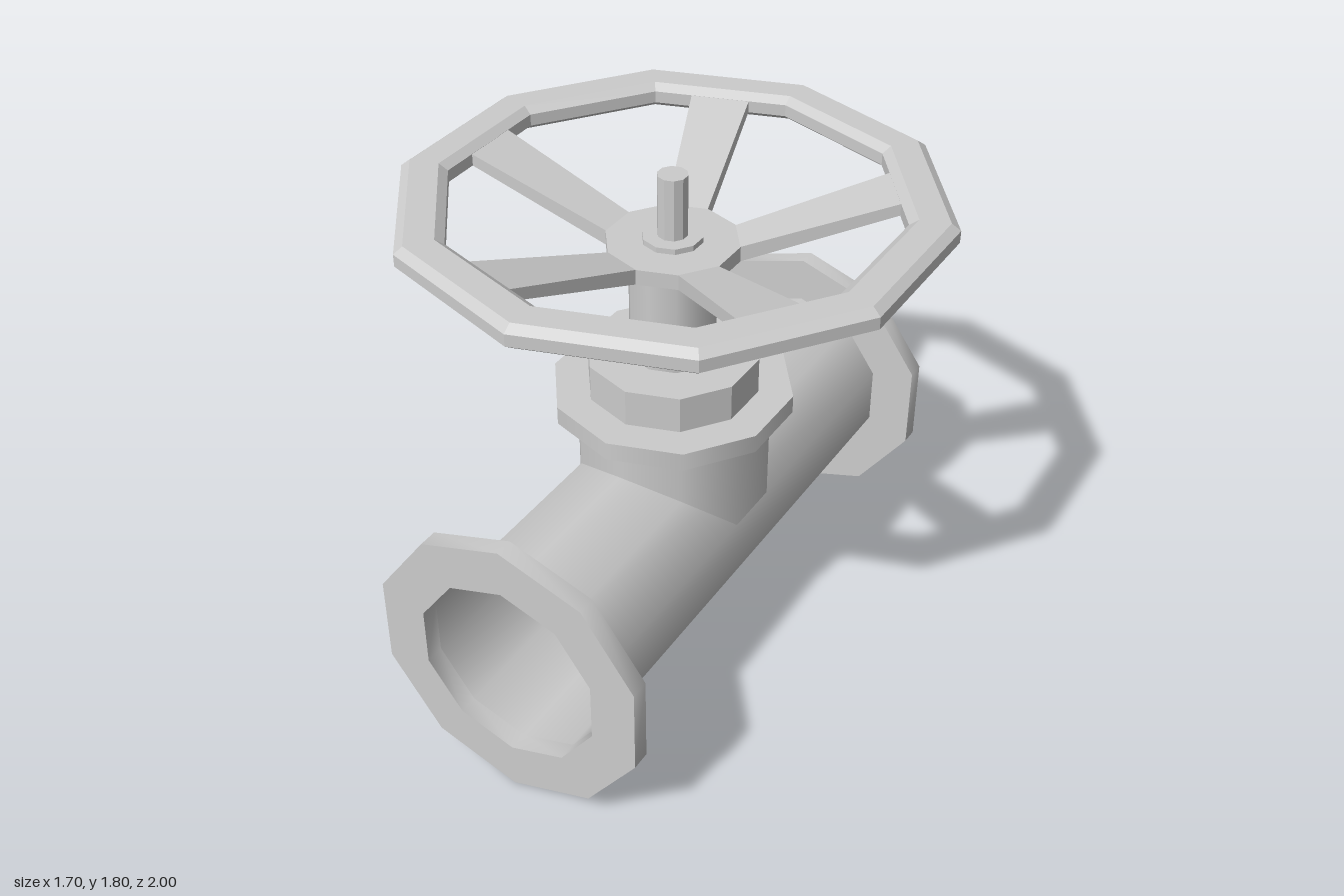
import * as THREE from 'three';
import { toCreasedNormals } from 'three/addons/utils/BufferGeometryUtils.js';

const SIDES = 10;
const smooth = new THREE.MeshStandardMaterial({ color: 0xcccccc });
const thin = new THREE.MeshStandardMaterial({ color: 0xcccccc, side: THREE.DoubleSide });
const flat = new THREE.MeshStandardMaterial({ color: 0xcccccc, flatShading: true });

function add(parent, name, geometry, material) {
  const mesh = new THREE.Mesh(geometry, material);
  mesh.name = name;
  parent.add(mesh);
  return mesh;
}

// Upright ten-sided prism between two heights
function prism(radius, y0, y1, open = false) {
  return new THREE.CylinderGeometry(radius, radius, y1 - y0, SIDES, 1, open)
    .translate(0, (y0 + y1) / 2, 0);
}

// Ten-sided ring from a closed [radius, y] profile
function ring(profile) {
  const points = [...profile, profile[0]].map(([r, y]) => new THREE.Vector2(r, y));
  return new THREE.LatheGeometry(points, SIDES);
}

export function createModel() {
  const model = new THREE.Group();
  model.name = 'gateValve';
  const pipeR = 0.334, pipeY = 0.5;

  // Horizontal hollow pipe
  const pipe = prism(pipeR, -0.935, 0.935, true).rotateX(Math.PI / 2).translate(0, pipeY, 0);
  add(model, 'pipe', pipe, thin);

  // End flanges
  for (const side of [1, -1]) {
    const geo = ring([[pipeR, -0.0325], [0.5, -0.0325], [0.5, 0.0325], [pipeR, 0.0325]]);
    geo.rotateX(Math.PI / 2).translate(0, pipeY, side * 0.9675);
    add(model, side > 0 ? 'frontFlange' : 'backFlange', toCreasedNormals(geo, 0.8), smooth);
  }

  // Vertical branch, its lower edge mitred to the pipe
  const branch = prism(pipeR, 0.5, 0.96, true);
  const p = branch.attributes.position;
  for (let i = 0; i < p.count; i++) {
    if (p.getY(i) < 0.7) p.setY(i, pipeY + Math.abs(p.getZ(i)));
  }
  add(model, 'branch', branch, thin);

  // Bonnet stack and stem
  add(model, 'bonnetPlate', prism(0.41, 0.96, 1.025), smooth);
  add(model, 'bonnetNut', prism(0.292, 1.025, 1.155), flat);
  add(model, 'stemHousing', prism(0.147, 1.155, 1.49), smooth);
  add(model, 'stemCollar', prism(0.1, 1.49, 1.592), flat);
  add(model, 'stem', prism(0.05, 1.592, 1.805), flat);

  // Handwheel: bevelled rim, hub and five rising spokes
  const wheel = new THREE.Group();
  wheel.name = 'handwheel';
  model.add(wheel);
  add(wheel, 'rim', ring([
    [0.865, 1.66], [0.895, 1.682], [0.895, 1.723], [0.865, 1.745],
    [0.767, 1.745], [0.737, 1.723], [0.737, 1.682], [0.767, 1.66],
  ]), flat);
  add(wheel, 'hub', prism(0.22, 1.52, 1.573), flat);

  const spoke = new THREE.BoxGeometry(1, 1, 1);
  const s = spoke.attributes.position;
  for (let i = 0; i < s.count; i++) {
    const outer = s.getX(i) > 0, top = s.getY(i) > 0;
    const half = outer ? 0.1 : 0.068;
    s.setXYZ(i,
      outer ? 0.703 : 0.208,
      outer ? (top ? 1.723 : 1.682) : (top ? 1.573 : 1.52),
      Math.sign(s.getZ(i)) * half);
  }
  for (let i = 0; i < 5; i++) {
    add(wheel, 'spoke' + (i + 1), spoke, flat).rotation.y = Math.PI + (i * Math.PI * 2) / 5;
  }
  return model;
}
